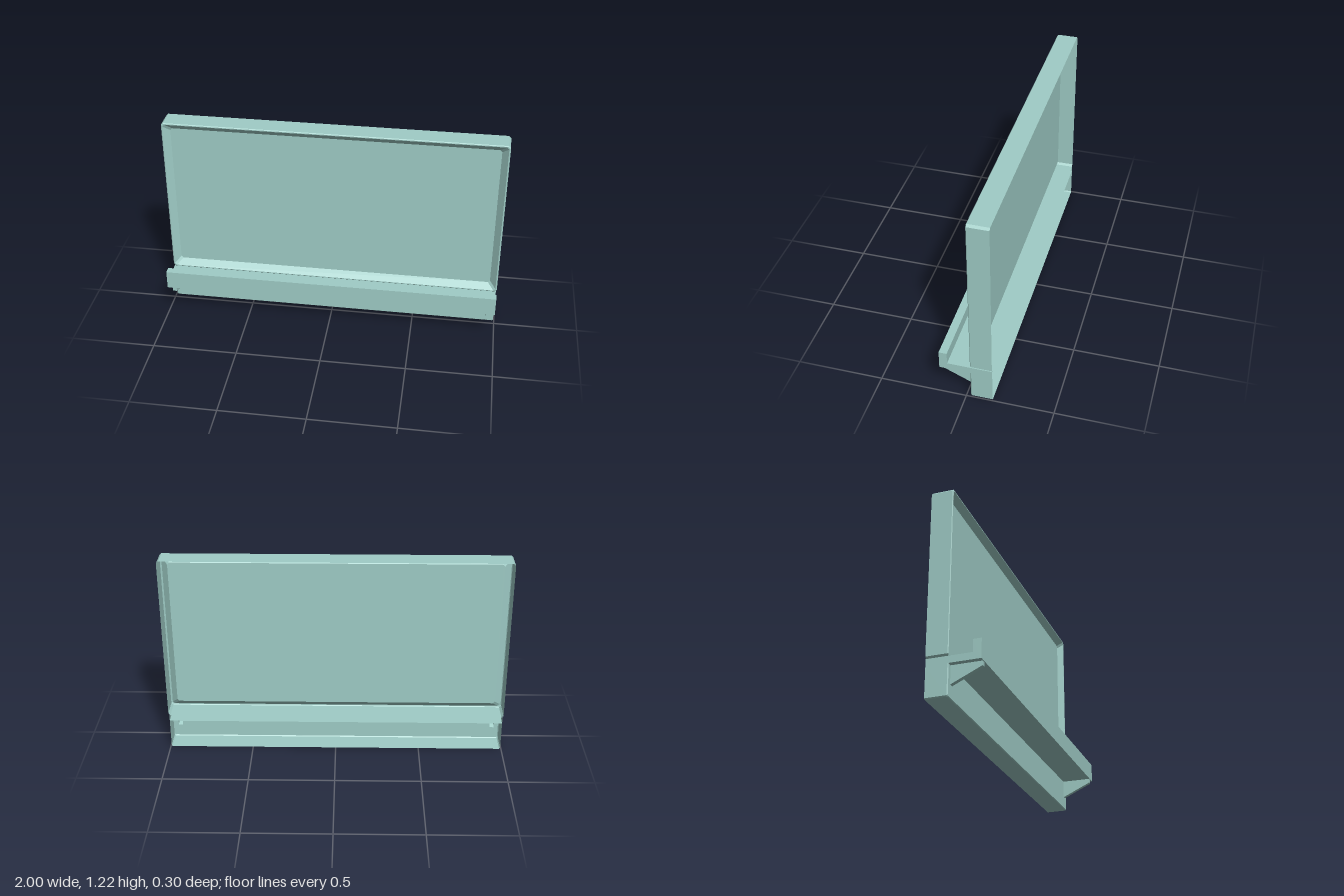
import * as THREE from 'three';
import { mergeGeometries } from 'three/addons/utils/BufferGeometryUtils.js';

const BACK = -0.15, FRONT = -0.025;

// Flat-shaded skin between successive rings of [x, y, z] points
function loft(rings, closed) {
  const pos = [];
  for (let i = 0; i < rings.length - 1; i++) {
    const p = rings[i], q = rings[i + 1], n = p.length;
    for (let j = 0; j < (closed ? n : n - 1); j++) {
      const k = (j + 1) % n;
      pos.push(...p[j], ...p[k], ...q[k], ...p[j], ...q[k], ...q[j]);
    }
  }
  const g = new THREE.BufferGeometry();
  g.setAttribute('position', new THREE.Float32BufferAttribute(pos, 3));
  g.computeVertexNormals();
  return g;
}

// Flat polygon facing +z
function panel(points, z = 0) {
  const shape = new THREE.Shape(points.map(([x, y]) => new THREE.Vector2(x, y)));
  const g = new THREE.ShapeGeometry(shape).toNonIndexed().translate(0, 0, z);
  g.deleteAttribute('uv');
  return g;
}

// Rectangle with cut corners, counter-clockwise
function cutRect(h, y0, y1, c) {
  return [
    [-h, y0 + c], [-h + c, y0], [h - c, y0], [h, y0 + c],
    [h, y1 - c], [h - c, y1], [-h + c, y1], [-h, y1 - c],
  ];
}

// Skin swept along x from a [z, y] profile, with closed ends; its back stays open
function sweep(profile, x0, x1, endProfile = profile) {
  const ring = (x) => profile.map(([z, y]) => [x, y, z]);
  const end = (x, s) => panel(endProfile.map(([z, y]) => [-s * z, y]))
    .rotateY(s * Math.PI / 2).translate(x, 0, 0);
  return mergeGeometries([loft([ring(x1), ring(x0)], false), end(x1, 1), end(x0, -1)]);
}

export function createModel() {
  const group = new THREE.Group();
  const material = new THREE.MeshStandardMaterial({ color: 0x9fccc6, side: THREE.DoubleSide });
  const add = (name, geometry) => {
    const mesh = new THREE.Mesh(geometry, material);
    mesh.name = name;
    group.add(mesh);
  };

  // Board frame: outer walls, narrow rim and a bevel sloping in to the panel
  const rect = (inset, c) => cutRect(1 - inset, 0.22 + inset, 1.215 - inset, c);
  const frameRings = [
    [0, BACK, 0.012], [0, FRONT - 0.004, 0.012], [0.004, FRONT, 0.012],
    [0.009, FRONT, 0.012], [0.045, -0.058, 0.012],
  ].map(([inset, z, c]) => rect(inset, c).map(([x, y]) => [x, y, z]));
  add('boardFrame', loft(frameRings, true));

  // Recessed board face
  add('boardPanel', panel(rect(0.045, 0.012), -0.058));

  // Tray with a raised front lip, open at the back
  add('tray', sweep([
    [BACK, 0.18], [0.152, 0.18], [0.152, 0.292], [0.106, 0.292], [0.106, 0.22], [BACK, 0.22],
  ], -0.995, 0.995));

  // Base walls under the tray, open at the top and back
  const baseLoop = (inset) => {
    const h = 0.995 - inset, c = 0.006, y = inset;
    return [[-h, 0.18], [-h, y + c], [-h + c, y], [h - c, y], [h, y + c], [h, 0.18]];
  };
  const baseRings = [[0, BACK], [0, FRONT - 0.005], [0.005, FRONT]]
    .map(([inset, z]) => baseLoop(inset).map(([x, y]) => [x, y, z]));
  add('baseWalls', loft(baseRings, false));

  // Base front, notched where the hollow brackets join it
  const inner = 0.94, outer = 0.965, low = 0.075;
  const notch = (a, b) => [[a, 0.18], [a, low], [b, low], [b, 0.18]];
  add('baseFront', panel(
    [...baseLoop(0.005), ...notch(outer, inner), ...notch(-inner, -outer)], FRONT));

  // Sloping brackets that carry the tray
  const slope = [[FRONT, low], [0.148, 0.155], [0.148, 0.18]];
  const side = [...slope, [FRONT, 0.18]];
  add('leftBracket', sweep(slope, inner, outer, side));
  add('rightBracket', sweep(slope, -outer, -inner, side));

  return group;
}
